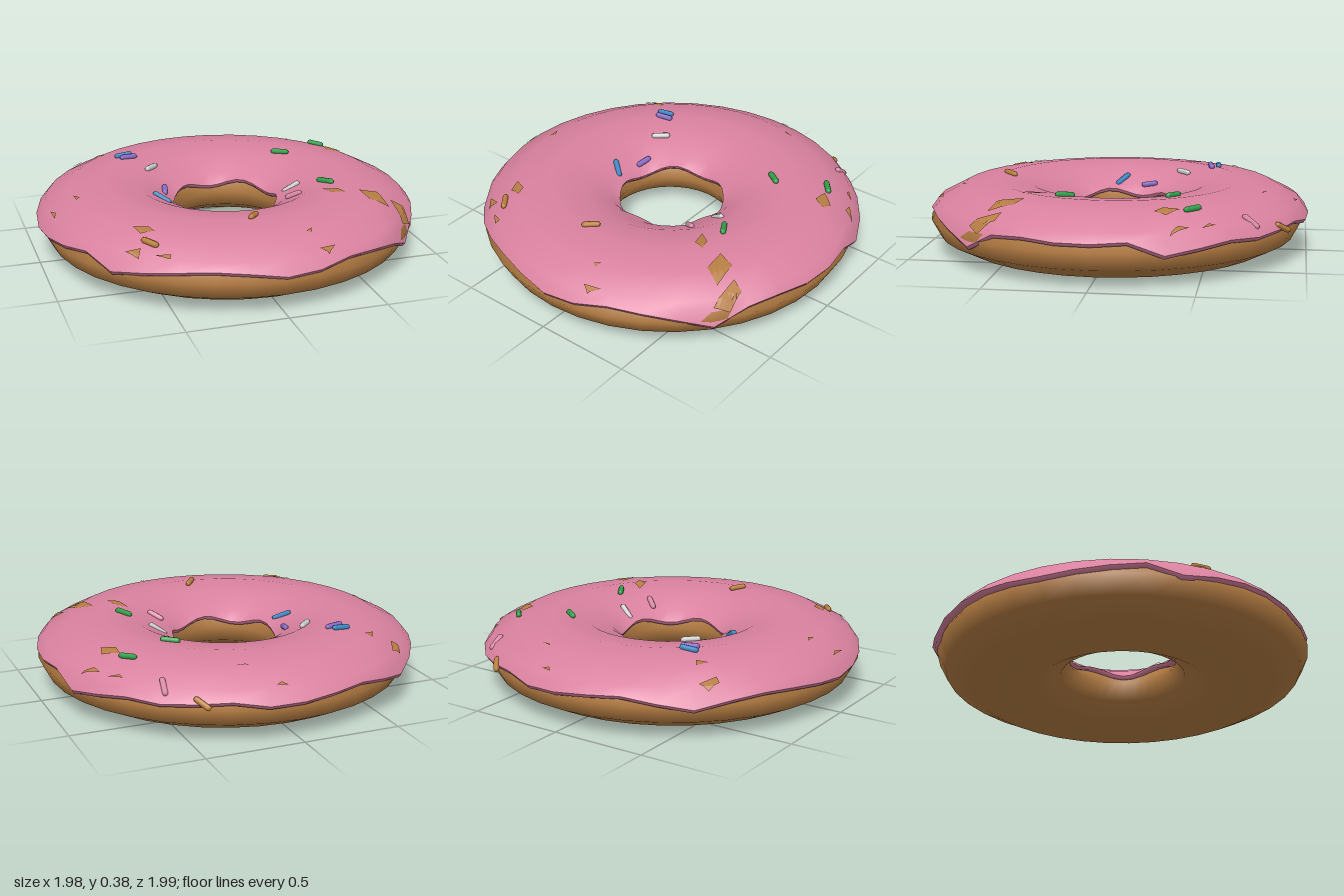
import * as THREE from 'three';

const SIDES = 36;
const RING = 0.635;      // radius of the ring's centre line
const SHIFT = -0.012;    // icing sits slightly towards the back
// Icing half profile: distance from the centre line, height
const PROFILE = [[0, 0.362], [0.18, 0.338], [0.312, 0.271], [0.36, 0.19]];
// Height of the icing's outer edge, every 10 degrees from the front towards +x
const EDGE = [
  0.2, 0.21, 0.235, 0.225, 0.2, 0.14, 0.225, 0.235, 0.225, 0.225, 0.235, 0.17,
  0.195, 0.215, 0.205, 0.215, 0.225, 0.2, 0.205, 0.22, 0.23, 0.205, 0.175, 0.21,
  0.225, 0.22, 0.205, 0.19, 0.2, 0.215, 0.235, 0.18, 0.205, 0.225, 0.235, 0.225,
];

const mat = (name, color, side = THREE.FrontSide) => {
  const m = new THREE.MeshStandardMaterial({ color, side });
  m.name = name;
  return m;
};

// Icing height above a point on the plan
function icingHeight(x, z) {
  const d = Math.min(Math.abs(Math.hypot(x, z - SHIFT) - RING), 0.36);
  for (let i = 1; i < PROFILE.length; i++) {
    const [d0, y0] = PROFILE[i - 1], [d1, y1] = PROFILE[i];
    if (d <= d1) return THREE.MathUtils.mapLinear(d, d0, d1, y0, y1);
  }
  return 0.19;
}

// Sweeps a section (list of [radius, height]) that varies around the ring
function sweep(section) {
  const pos = [], index = [];
  let n = 0;
  for (let i = 0; i < SIDES; i++) {
    const a = (i / SIDES) * Math.PI * 2;
    const pts = section(i, a);
    n = pts.length;
    for (const [r, y] of pts) pos.push(r * Math.sin(a), y, r * Math.cos(a) + SHIFT);
  }
  for (let i = 0; i < SIDES; i++) {
    for (let j = 0; j < n - 1; j++) {
      const a = i * n + j, b = ((i + 1) % SIDES) * n + j;
      index.push(a, a + 1, b, b, a + 1, b + 1);
    }
  }
  const g = new THREE.BufferGeometry();
  g.setAttribute('position', new THREE.Float32BufferAttribute(pos, 3));
  g.setIndex(index);
  g.computeVertexNormals();
  return g;
}

// Edge points of the icing on its outside and in the hole
const outerEdge = (i) => {
  const k = (EDGE[i] - 0.18) / 0.182;
  return [RING + 0.362 * Math.sqrt(1 - k * k), EDGE[i]];
};
const innerEdge = (a) => [RING - 0.362, 0.235 + 0.018 * Math.cos(5 * a)];

// Thin patch of bare dough following the icing: a fan of subdivided triangles
function patchGeometry(flat) {
  const pts = [];
  for (let i = 0; i < flat.length; i += 2) pts.push([flat[i], flat[i + 1]]);
  const pos = [], N = 4;
  for (let k = 1; k < pts.length - 1; k++) {
    const [A, B, C] = [pts[0], pts[k], pts[k + 1]];
    const put = (u, v) => {
      const x = A[0] + ((B[0] - A[0]) * u + (C[0] - A[0]) * v) / N;
      const z = A[1] + ((B[1] - A[1]) * u + (C[1] - A[1]) * v) / N;
      const out = 1 + 0.003 * Math.sign(Math.hypot(x, z) - RING);
      pos.push(x * out, icingHeight(x, z) + 0.004, z * out);
    };
    // corners run so that the faces point up
    for (let u = 0; u < N; u++) {
      for (let v = 0; v < N - u; v++) {
        put(u, v); put(u, v + 1); put(u + 1, v);
        if (u + v < N - 1) { put(u + 1, v); put(u, v + 1); put(u + 1, v + 1); }
      }
    }
  }
  const g = new THREE.BufferGeometry();
  g.setAttribute('position', new THREE.Float32BufferAttribute(pos, 3));
  g.computeVertexNormals();
  return g;
}

// Bare patches as x, z corners
const PATCHES = [
  [0.6, 0.37, 0.69, 0.4, 0.7, 0.53, 0.61, 0.49],
  [0.74, 0.45, 0.8, 0.47, 0.8, 0.56, 0.74, 0.61],
  [0.43, 0.29, 0.5, 0.34, 0.51, 0.4, 0.455, 0.38],
  [0.7, -0.4, 0.775, -0.34, 0.76, -0.28, 0.695, -0.32],
  [0.82, -0.455, 0.89, -0.37, 0.83, -0.4],
  [0.745, -0.57, 0.8, -0.51, 0.75, -0.54],
  [-0.69, -0.64, -0.67, -0.7, -0.62, -0.71, -0.66, -0.62],
  [-0.585, -0.57, -0.55, -0.625, -0.525, -0.585],
  [-0.62, 0.5, -0.55, 0.53, -0.535, 0.585, -0.6, 0.57],
  [-0.69, 0.635, -0.62, 0.655, -0.64, 0.7],
  [-0.57, 0.73, -0.5, 0.76, -0.51, 0.785],
  [0.185, 0.89, 0.27, 0.87, 0.225, 0.915],
  [-0.935, 0.02, -0.915, 0.07, -0.93, 0.12],
  [-0.81, -0.01, -0.785, 0.03, -0.805, 0.055],
  [0.065, -0.945, 0.12, -0.935, 0.09, -0.922],
  [0.19, -0.79, 0.25, -0.77, 0.21, -0.772],
  [0.155, 0.79, 0.19, 0.765, 0.18, 0.795],
];

// Sprinkles as colour and x, z of both ends
const SPRINKLES = [
  ['blue', -0.485, -0.505, -0.385, -0.515], ['blue', -0.39, -0.015, -0.31, 0.045],
  ['purple', -0.465, -0.46, -0.365, -0.48], ['purple', -0.305, -0.095, -0.285, -0.185],
  ['white', -0.36, -0.29, -0.285, -0.36], ['white', 0.305, 0.035, 0.39, 0.065],
  ['green', 0.65, -0.495, 0.715, -0.42], ['green', 0.38, -0.37, 0.465, -0.31],
  ['green', 0.46, 0.145, 0.515, 0.235], ['rose', 0.605, -0.77, 0.595, -0.69],
  ['rose', 0.265, 0.195, 0.335, 0.245], ['orange', 0.44, -0.915, 0.495, -0.845],
  ['orange', -0.01, 0.545, -0.07, 0.62], ['orange', -0.605, 0.61, -0.545, 0.69],
];

export function createModel() {
  const model = new THREE.Group();
  model.name = 'doughnut';
  const add = (name, geometry, material, parent = model) => {
    const mesh = new THREE.Mesh(geometry, material);
    mesh.name = name;
    parent.add(mesh);
    return mesh;
  };
  const doughMat = mat('dough brown', 0xb67d43);
  const icingMat = mat('icing pink', 0xd9819f, THREE.DoubleSide);
  const colours = {
    blue: mat('sprinkle blue', 0x3d87c4),
    purple: mat('sprinkle purple', 0x8a6cc8),
    white: mat('sprinkle white', 0xcfcfcf),
    green: mat('sprinkle green', 0x32a04a),
    rose: mat('sprinkle rose', 0xdb8aa6),
    orange: mat('sprinkle orange', 0xbb7f3a),
  };

  // Flattened ring of dough
  const dough = new THREE.TorusGeometry(0.63, 0.348, 12, SIDES);
  dough.rotateX(Math.PI / 2).scale(1, 0.505, 1).translate(0, 0.176, 0);
  add('dough', dough, doughMat);

  // Icing shell with a dripping edge, and its thin rims
  add('icing', sweep((i, a) => [
    innerEdge(a),
    ...[2, 1].map((k) => [RING - PROFILE[k][0], PROFILE[k][1]]),
    ...[0, 1, 2].map((k) => [RING + PROFILE[k][0], PROFILE[k][1]]),
    outerEdge(i),
  ]), icingMat);
  add('icingOuterRim', sweep((i) => {
    const [r, y] = outerEdge(i);
    return [[r, y], [r - 0.012, y - 0.018], [r - 0.05, y - 0.012]];
  }), icingMat);
  add('icingInnerRim', sweep((i, a) => {
    const [r, y] = innerEdge(a);
    return [[r + 0.04, y - 0.012], [r + 0.008, y - 0.018], [r, y]];
  }), icingMat);

  // Dough showing through the icing
  const patches = new THREE.Group();
  patches.name = 'barePatches';
  model.add(patches);
  for (const p of PATCHES) add('barePatch', patchGeometry(p), doughMat, patches);

  // Sprinkles lying along the icing
  const sprinkles = new THREE.Group();
  sprinkles.name = 'sprinkles';
  model.add(sprinkles);
  const up = new THREE.Vector3(0, 1, 0);
  for (const [colour, x0, z0, x1, z1] of SPRINKLES) {
    const a = new THREE.Vector3(x0, icingHeight(x0, z0) + 0.008, z0);
    const b = new THREE.Vector3(x1, icingHeight(x1, z1) + 0.008, z1);
    const dir = b.clone().sub(a);
    const g = new THREE.CapsuleGeometry(0.015, dir.length() - 0.03, 2, 8);
    const s = add('sprinkle', g, colours[colour], sprinkles);
    s.position.copy(a).lerp(b, 0.5);
    s.quaternion.setFromUnitVectors(up, dir.normalize());
  }
  return model;
}
